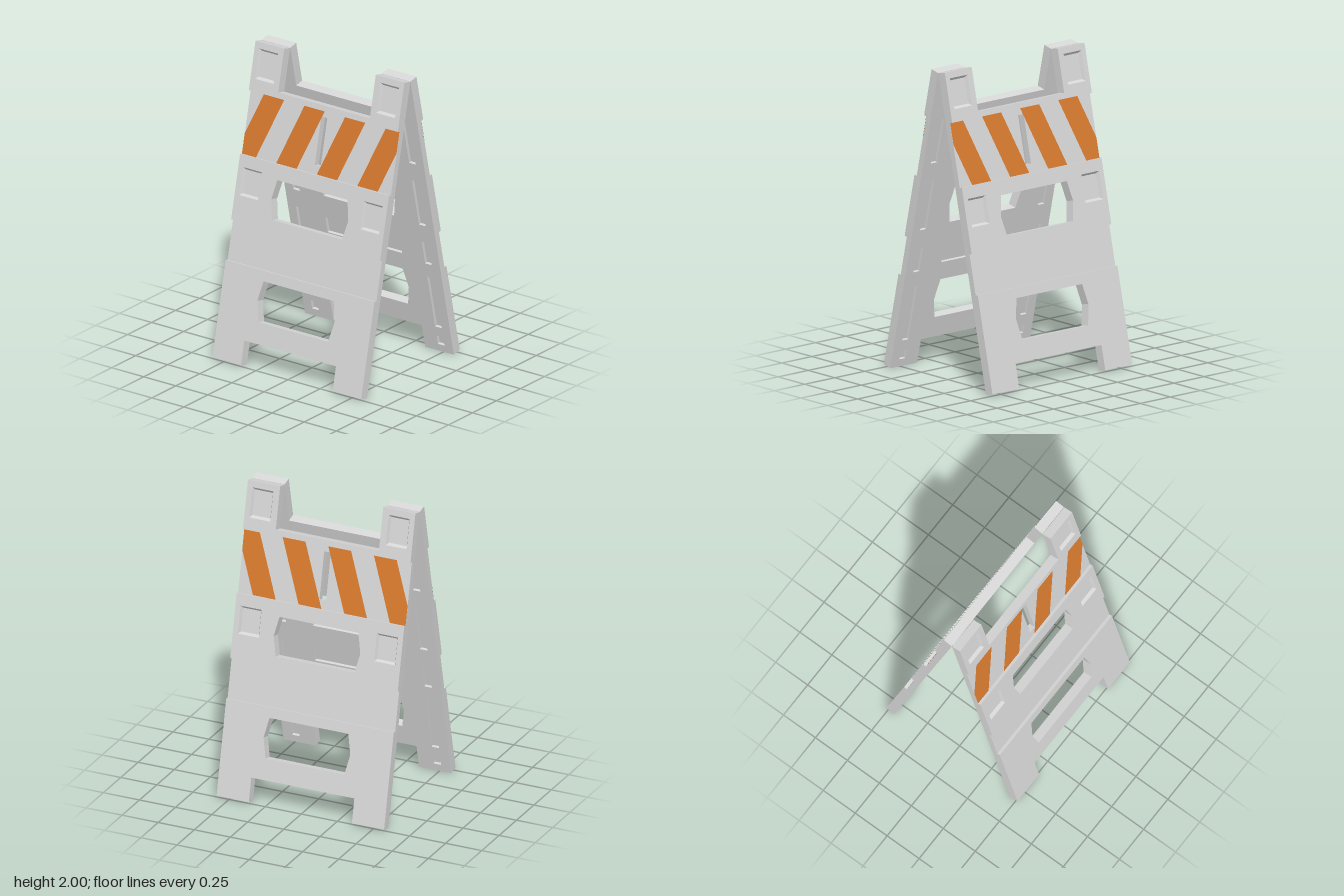
import * as THREE from 'three';

// Panel coordinates: u across the board, s up along it, w out through its thickness
const TILT = Math.atan2(0.2215, 0.9752);
const HALF = 0.58, NOTCH = 0.357, LENGTH = 2.036;
const INNER = 0.02, CORE = 0.042, OUTER = 0.063;
const FOOT = 0.16, CREST = 1.755;

const poly = pts => pts.map(([u, s]) => new THREE.Vector2(u, s));
const rect = (u, s0, s1, halfWidth) => poly([
  [u - halfWidth, s0], [u + halfWidth, s0], [u + halfWidth, s1], [u - halfWidth, s1]]);
const hexWindow = (s0, s1) => {
  const m = (s0 + s1) / 2;
  return poly([[-0.273, s0], [0.273, s0], [0.3, m], [0.273, s1], [-0.273, s1], [-0.3, m]]);
};

// Board outline, with the gap between the feet and between the top posts where it reaches them
function outline(s0, s1) {
  const p = [[-HALF, s0]];
  if (s0 < FOOT) p.push([-NOTCH, s0], [-NOTCH, FOOT], [NOTCH, FOOT], [NOTCH, s0]);
  p.push([HALF, s0], [HALF, s1]);
  if (s1 > CREST) p.push([NOTCH, s1], [NOTCH, CREST], [-NOTCH, CREST], [-NOTCH, s1]);
  p.push([-HALF, s1]);
  return poly(p);
}

function layer(name, s0, s1, w0, w1, holes, material) {
  const shape = new THREE.Shape(outline(s0, s1));
  for (const h of holes) shape.holes.push(new THREE.Path(h));
  const geo = new THREE.ExtrudeGeometry(shape, { depth: w1 - w0, bevelEnabled: false });
  geo.translate(0, 0, w0);
  const mesh = new THREE.Mesh(geo, material);
  mesh.name = name;
  return mesh;
}

// Tapered walls of a square pocket
function pocketWalls(u, s0, s1, halfWidth, material) {
  const r = Math.SQRT1_2;
  let geo = new THREE.CylinderGeometry(r, r * 0.85, OUTER - CORE, 4, 1, true);
  geo.rotateY(Math.PI / 4).rotateX(Math.PI / 2);
  geo.scale(halfWidth * 2, s1 - s0, 1);
  geo.translate(u, (s0 + s1) / 2, (CORE + OUTER) / 2);
  geo = geo.toNonIndexed();
  geo.computeVertexNormals();
  const mesh = new THREE.Mesh(geo, material);
  mesh.name = 'pocketWalls';
  return mesh;
}

// Slanted stripes lying in the recessed band, clipped at the board edges
function addStripes(panel, dir, material) {
  const low = 1.309, high = 1.719, lean = 0.155, wide = 0.158;
  for (let i = 0; i < 4; i++) {
    const a = 0.632 - i * 0.316, b = a - wide;
    const at = (z, edge) => low + (high - low) * (edge - z + lean) / lean;
    let pts;
    if (a > HALF) pts = [[HALF, high], [b, high], [b - lean, low], [a - lean, low], [HALF, at(a, HALF)]];
    else if (b - lean < -HALF) pts = [[a, high], [b, high], [-HALF, at(b, -HALF)], [-HALF, low], [a - lean, low]];
    else pts = [[a, high], [b, high], [b - lean, low], [a - lean, low]];
    const shape = new THREE.Shape(poly(pts.map(([z, s]) => [z * dir, s])));
    const stripe = new THREE.Mesh(new THREE.ShapeGeometry(shape), material);
    stripe.position.z = CORE + 0.0015;
    stripe.name = 'stripe';
    panel.add(stripe);
  }
}

function makePanel(dir, plastic, orange) {
  const panel = new THREE.Group();
  const lowWindow = hexWindow(0.298, 0.56), highWindow = hexWindow(0.955, 1.211);
  const handSlot = rect(0, 1.364, 1.677, 0.023);
  const through = [lowWindow, highWindow, handSlot];

  // Recesses moulded into the inner face
  const recesses = [rect(0, 0.68, 0.79, 0.29)];
  for (const u of [-0.49, 0.49]) {
    for (const [s0, s1] of [[0.05, 0.11], [0.18, 0.55], [0.65, 0.81], [0.94, 1.27], [1.4, 1.7]]) {
      recesses.push(rect(u, s0, s1, 0.026));
    }
  }

  // Square pockets on the outer face
  const pockets = { upper: [], middle: [] };
  for (const u of [-0.472, 0.472]) {
    for (const [key, s0, s1] of [['upper', 1.8, 1.995], ['middle', 1.052, 1.232]]) {
      pockets[key].push(rect(u, s0, s1, 0.073));
      panel.add(pocketWalls(u, s0, s1, 0.073, plastic));
    }
  }

  panel.add(
    layer('innerFace', 0, LENGTH, 0, INNER, [...through, ...recesses], plastic),
    layer('core', 0, LENGTH, INNER, CORE, through, plastic),
    layer('lowerOuterFace', 0, 0.6265, CORE, OUTER, [lowWindow], plastic),
    layer('middleOuterFace', 0.888, 1.309, CORE, OUTER, [highWindow, ...pockets.middle], plastic),
    layer('upperOuterFace', 1.719, LENGTH, CORE, OUTER, pockets.upper, plastic));
  addStripes(panel, -dir, orange);

  // Lean the board so both tops meet over the middle
  panel.rotation.set(-TILT, dir * Math.PI / 2, 0, 'YXZ');
  panel.position.x = dir * 0.452;
  return panel;
}

export function createModel() {
  const plastic = new THREE.MeshStandardMaterial({ color: 0xd6d6d6, side: THREE.DoubleSide });
  plastic.name = 'lightGreyPlastic';
  const orange = new THREE.MeshStandardMaterial({ color: 0xd87a2e, side: THREE.DoubleSide });
  orange.name = 'orangeStripe';

  const model = new THREE.Group();
  model.name = 'foldingBarricade';
  for (const [name, dir] of [['leftPanel', 1], ['rightPanel', -1]]) {
    const panel = makePanel(dir, plastic, orange);
    panel.name = name;
    model.add(panel);
  }
  return model;
}
